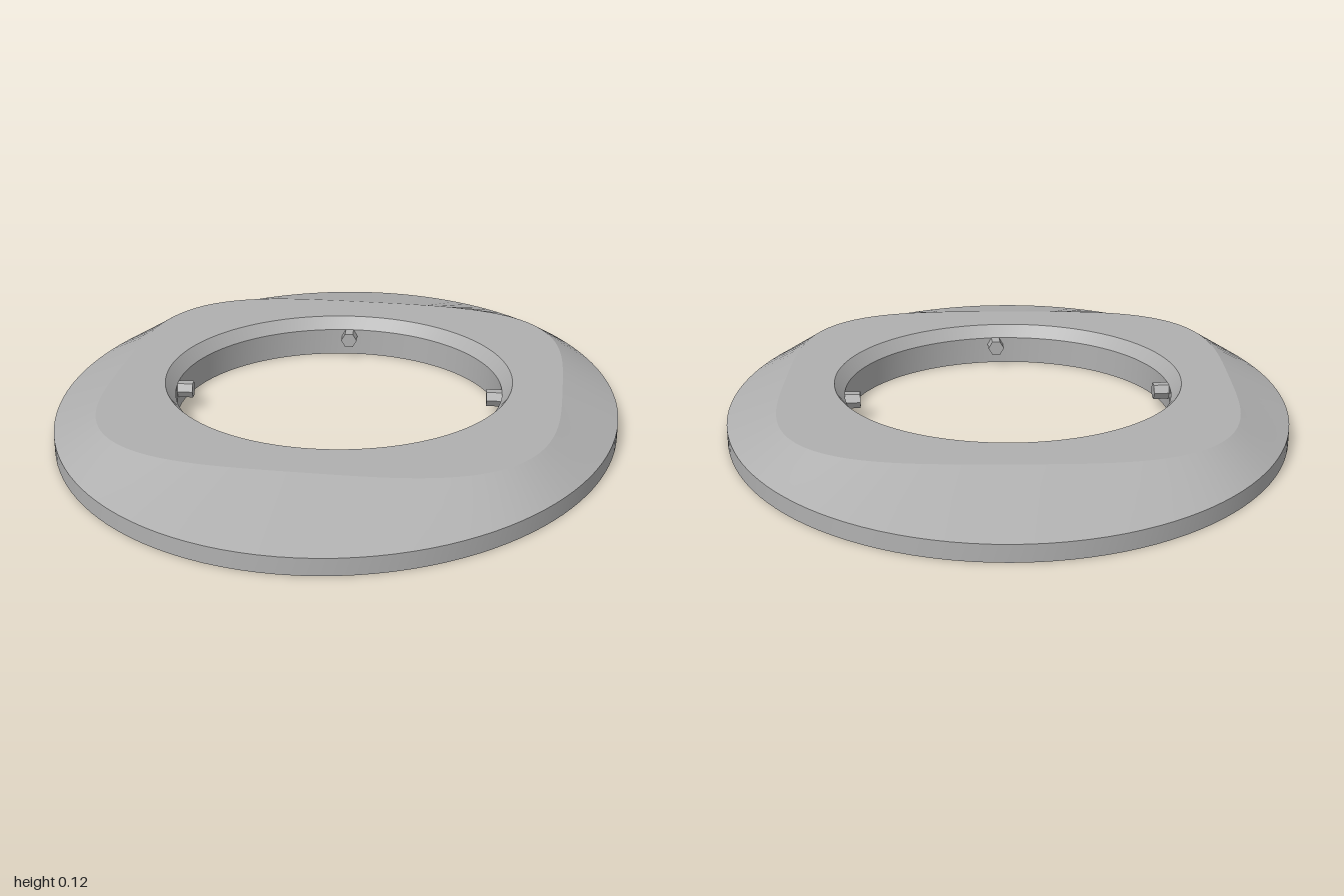
import * as THREE from 'three';

const SEG = 128;

// closed loop of points at height y; n = 2 gives an ellipse, larger n a rounded square
function loop(rx, rz, y, n = 2, cx = 0, cz = 0, seg = SEG) {
  return Array.from({ length: seg }, (_, i) => {
    const t = (i / seg) * Math.PI * 2;
    const c = Math.cos(t), s = Math.sin(t);
    const k = Math.pow(Math.abs(c / rx) ** n + Math.abs(s / rz) ** n, -1 / n);
    return new THREE.Vector3(cx + c * k, y, cz + s * k);
  });
}

// smooth band joining two loops
function band(a, b) {
  const n = a.length, index = [];
  for (let i = 0; i < n; i++) {
    const j = (i + 1) % n;
    index.push(i, n + i, j, j, n + i, n + j);
  }
  const g = new THREE.BufferGeometry().setFromPoints([...a, ...b]);
  g.setIndex(index);
  g.computeVertexNormals();
  return g;
}

export function createModel() {
  const model = new THREE.Group();
  const grey = new THREE.MeshStandardMaterial({ color: 0xb0b0b0 });
  grey.name = 'grey';

  const add = (name, geometry) => {
    const mesh = new THREE.Mesh(geometry, grey);
    mesh.name = name;
    model.add(mesh);
    return mesh;
  };

  // oval body, from the base up and over into the bore
  const base = loop(0.85, 1, 0);
  const edge = loop(0.85, 1, 0.05);
  const crown = loop(0.68, 0.68, 0.125, 3.5);
  const rim = loop(0.53, 0.53, 0.125);
  const throat = loop(0.5, 0.5, 0.087);
  const bore = loop(0.5, 0.5, 0);
  add('outerWall', band(base, edge));
  add('bevel', band(edge, crown));
  add('topFace', band(crown, rim));
  add('boreChamfer', band(rim, throat));
  add('boreWall', band(throat, bore));

  // underside with the bore and four blind screw holes
  const flat = (pts) => pts.map((p) => new THREE.Vector2(p.x, p.z));
  const underside = new THREE.Shape(flat(base));
  underside.holes.push(new THREE.Path(flat(bore)));
  const holeRadius = 0.035, holeDepth = 0.08;
  for (const x of [-0.447, 0.447]) {
    for (const z of [-0.447, 0.447]) {
      const mouth = loop(holeRadius, holeRadius, 0, 2, x, z, 24);
      const end = loop(holeRadius, holeRadius, holeDepth, 2, x, z, 24);
      underside.holes.push(new THREE.Path(flat(mouth)));
      add('screwHoleWall', band(end, mouth));
      add('screwHoleEnd', new THREE.CircleGeometry(holeRadius, 24).rotateX(Math.PI / 2).translate(x, holeDepth, z));
    }
  }
  add('underside', new THREE.ShapeGeometry(underside).rotateX(Math.PI / 2));

  // four small pegs pointing into the bore
  const pegGeometry = new THREE.CylinderGeometry(0.026, 0.026, 0.06, 6).toNonIndexed();
  pegGeometry.computeVertexNormals();
  pegGeometry.rotateY(Math.PI / 2).rotateZ(Math.PI / 2).rotateX(Math.PI / 2);
  pegGeometry.translate(0.483, 0.065, 0);
  for (let i = 0; i < 4; i++) {
    const peg = add('peg', pegGeometry);
    peg.rotation.y = (i * Math.PI) / 2 + 0.08;
  }
  return model;
}
